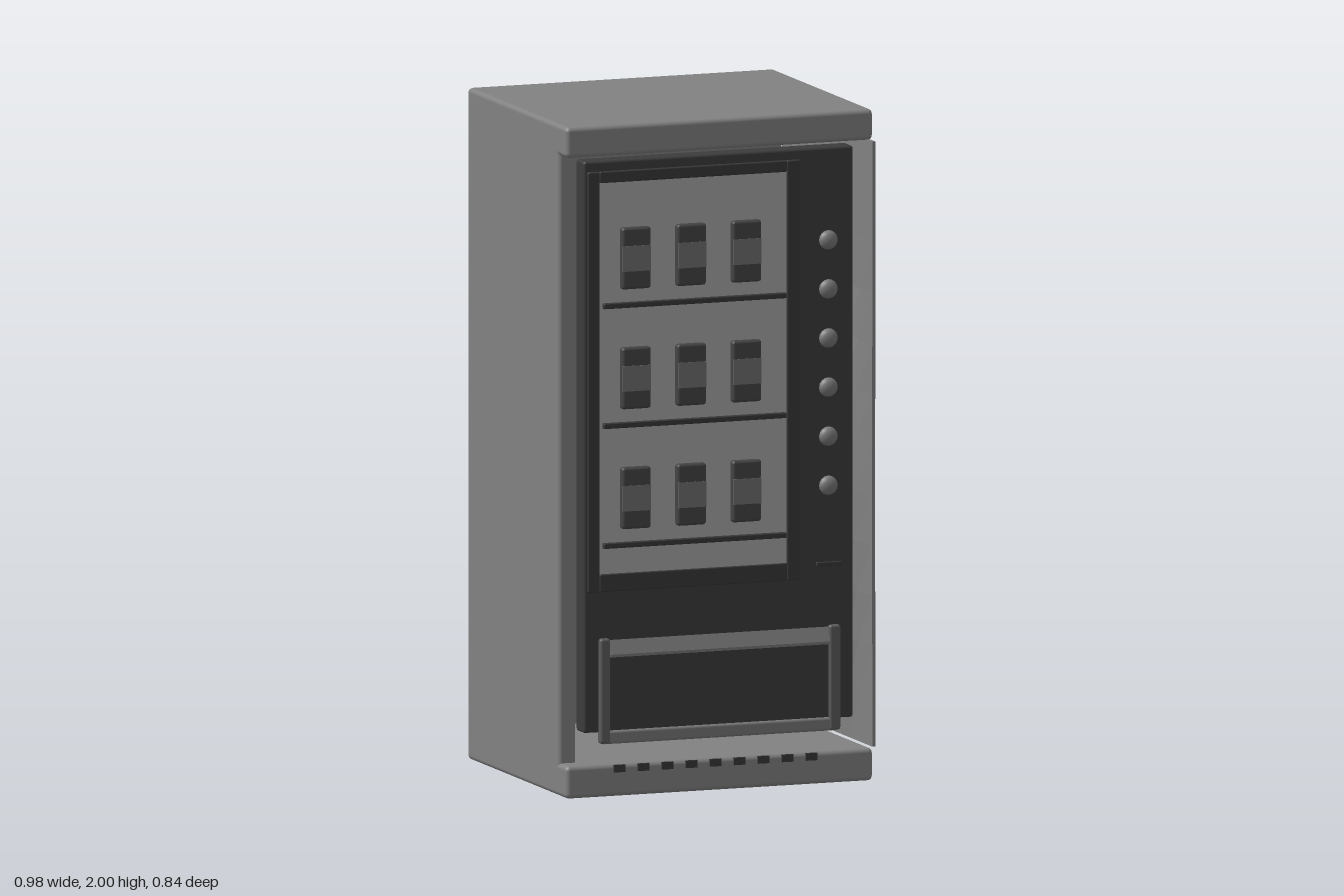
import * as THREE from 'three';
import { RoundedBoxGeometry } from 'three/addons/geometries/RoundedBoxGeometry.js';

const paint = (name, color) => {
  const m = new THREE.MeshStandardMaterial({ color });
  m.name = name;
  return m;
};

export function createModel() {
  const model = new THREE.Group();
  model.name = 'vendingMachine';

  const body = paint('bodyGrey', 0x828282);
  const door = paint('doorCharcoal', 0x3c3c3c);
  const dark = paint('darkTrim', 0x383838);
  const glass = paint('displayLightGrey', 0xa8a8a8);
  const can = paint('productDark', 0x444444);
  const label = paint('productLabel', 0x707070);
  const metal = paint('metalGrey', 0x787878);
  const trim = paint('hatchGrey', 0x5c5c5c);

  const add = (name, geometry, material, parent = model) => {
    const mesh = new THREE.Mesh(geometry, material);
    mesh.name = name;
    parent.add(mesh);
    return mesh;
  };

  // Box given by its limits, with optional rounded edges
  const block = (name, mat, [x0, x1], [y0, y1], [z0, z1], r = 0, parent = model) => {
    const size = [x1 - x0, y1 - y0, z1 - z0];
    const g = r ? new RoundedBoxGeometry(...size, 2, r) : new THREE.BoxGeometry(...size);
    const mesh = add(name, g, mat, parent);
    mesh.position.set((x0 + x1) / 2, (y0 + y1) / 2, (z0 + z1) / 2);
    return mesh;
  };

  // Cabinet shell: base and top stand proud of the recessed front
  const W = [-0.488, 0.48], D = [-0.42, 0.388];
  block('base', body, W, [0, 0.097], D, 0.014);
  block('top', body, W, [1.908, 2], D, 0.014);
  block('backWall', body, W, [0, 2], [-0.42, -0.352], 0.014);
  block('rightWall', body, [-0.488, -0.43], [0, 2], [-0.42, 0.322], 0.014);

  // Dented side panel, faceted
  const dent = new THREE.BoxGeometry(0.01, 1.802, 0.74, 1, 12, 8);
  dent.translate(0.483, 1.002, 0.017);
  const p = dent.attributes.position;
  const bump = (t) => (Math.abs(t) < 1 ? Math.cos((t * Math.PI) / 2) ** 2 : 0);
  for (let i = 0; i < p.count; i++) {
    const push = 0.08 * bump((p.getY(i) - 0.85) / 0.72) * bump((p.getZ(i) - 0.06) / 0.36);
    p.setX(i, p.getX(i) - push);
  }
  const panel = dent.toNonIndexed();
  panel.computeVertexNormals();
  add('dentedSidePanel', panel, body);

  // Door slab
  block('door', door, [-0.432, 0.418], [0.193, 1.895], [0.322, 0.386], 0.008);

  // Display window with its frame
  const display = new THREE.Group();
  display.name = 'display';
  model.add(display);
  const fx = [-0.422, 0.247], fy = [0.612, 1.864], gx = [-0.385, 0.206], gy = [0.665, 1.83];
  const fz = [0.382, 0.396];
  block('frameRight', dark, [fx[0], gx[0]], fy, fz, 0.004, display);
  block('frameLeft', dark, [gx[1], fx[1]], fy, fz, 0.004, display);
  block('frameTop', dark, gx, [gy[1], fy[1]], fz, 0.004, display);
  block('frameBottom', dark, gx, [fy[0], gy[0]], fz, 0.004, display);
  block('displayBack', glass, gx, gy, [0.384, 0.391], 0, display);

  // Three shelves with three products each
  for (const y of [0.75, 1.107, 1.464]) {
    block('shelf', dark, [-0.376, 0.2], [y - 0.008, y + 0.008], [0.39, 0.408], 0.003, display);
    for (const x of [-0.276, -0.102, 0.072]) {
      const low = y + 0.048;
      block('product', can, [x - 0.046, x + 0.046], [low, low + 0.184], [0.39, 0.417], 0.009, display);
      block('productLabel', label, [x - 0.044, x + 0.044], [low + 0.054, low + 0.13], [0.41, 0.4185], 0, display);
    }
  }

  // Column of selection buttons
  const knob = new THREE.SphereGeometry(0.029, 16, 8, 0, Math.PI * 2, 0, Math.PI / 2);
  knob.rotateX(Math.PI / 2);
  knob.scale(1, 1, 0.7);
  for (let i = 0; i < 6; i++) {
    add('button', knob, metal).position.set(0.339, 1.619 - i * 0.1462, 0.386);
  }
  block('coinSlot', dark, [0.3, 0.38], [0.648, 0.661], [0.384, 0.393], 0.003);

  // Delivery hatch: sloped top and bottom bars between side posts
  const hatch = new THREE.Group();
  hatch.name = 'hatch';
  model.add(hatch);
  block('hatchFlap', door, [-0.352, 0.338], [0.195, 0.42], [0.38, 0.389], 0, hatch);
  for (const [a, b] of [[-0.385, -0.352], [0.338, 0.374]]) {
    block('hatchPost', trim, [a, b], [0.16, 0.473], [0.375, 0.401], 0.008, hatch);
  }
  const wedge = new THREE.Shape();
  wedge.moveTo(0, 0);
  wedge.lineTo(0.022, 0);
  wedge.lineTo(0.022, 0.008);
  wedge.lineTo(0.006, 0.05);
  wedge.lineTo(0, 0.05);
  const bar = new THREE.ExtrudeGeometry(wedge, { depth: 0.692, bevelEnabled: false });
  bar.rotateY(-Math.PI / 2); // profile x becomes z, length runs along -x
  add('hatchTopBar', bar, metal, hatch).position.set(0.339, 0.417, 0.38);
  block('hatchBottomBar', metal, [-0.378, 0.368], [0.158, 0.198], [0.372, 0.398], 0.008, hatch);

  // Row of vents in the base
  for (let i = 0; i < 9; i++) {
    const x = -0.321 + i * 0.0757;
    block('vent', dark, [x - 0.018, x + 0.018], [0.072, 0.094], [0.384, 0.392]);
  }
  return model;
}
